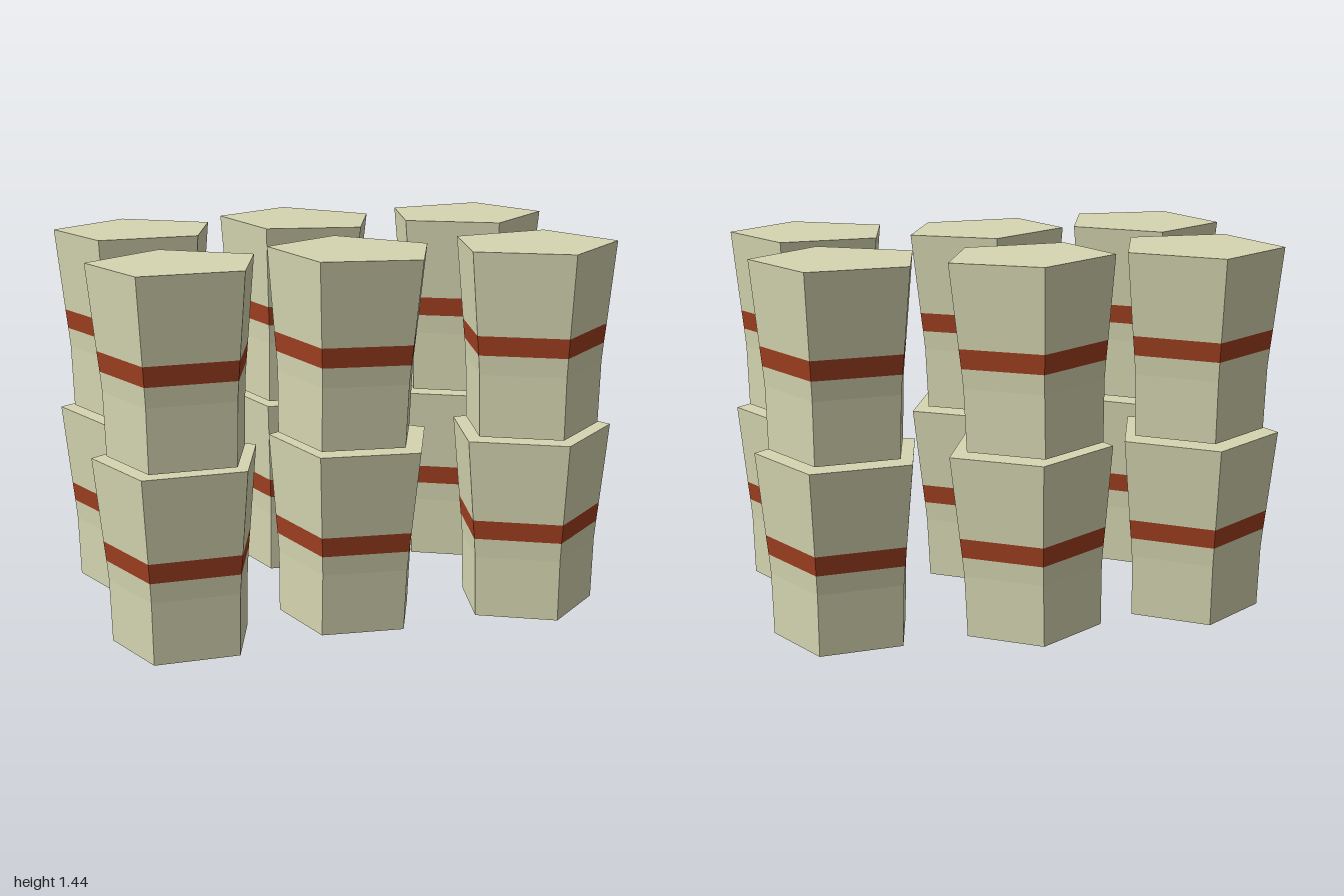
import * as THREE from 'three';

export function createModel() {
  const model = new THREE.Group();
  model.name = 'stackedCups';

  const cream = new THREE.MeshStandardMaterial({ color: 0xd6d6b2, flatShading: true });
  cream.name = 'cream';
  const rust = new THREE.MeshStandardMaterial({ color: 0xa04020, flatShading: true });
  rust.name = 'rust';

  // Wall profile of one five-sided cup: [radius relative to the rim, height]
  const lower = [[0, 0], [0.836, 0], [0.856, 0.24], [0.877, 0.315]];
  const band = [[0.877, 0.315], [0.902, 0.39]];
  const upper = [[0.902, 0.39], [1, 0.708], [0, 0.708]];

  function ring(name, profile, turn, material) {
    const points = profile.map(([r, y]) => new THREE.Vector2(r, y));
    const mesh = new THREE.Mesh(new THREE.LatheGeometry(points, 5, turn), material);
    mesh.scale.set(0.3255, 1, 0.307);
    mesh.name = name;
    return mesh;
  }

  function cup(turn) {
    const group = new THREE.Group();
    group.name = 'cup';
    group.add(
      ring('cupBase', lower, turn, cream),
      ring('cupStripe', band, turn, rust),
      ring('cupTop', upper, turn, cream),
    );
    return group;
  }

  // Three columns, each with its own turn and slight lean
  const columns = [
    { x: -0.688, z: 0.425, turn: 36, leanX: -0.021, leanZ: 0 },
    { x: -0.02, z: 0.34, turn: 33.4, leanX: 0, leanZ: -0.024 },
    { x: 0.684, z: 0.405, turn: 7, leanX: -0.01, leanZ: 0 },
  ];
  for (const c of columns) {
    for (const row of [0, 1]) {
      for (const level of [0, 1]) {
        const item = cup(THREE.MathUtils.degToRad(c.turn));
        item.position.set(c.x, 0.009 + level * 0.72, c.z - row * 0.74);
        item.rotation.set(c.leanX, 0, c.leanZ);
        model.add(item);
      }
    }
  }
  return model;
}
